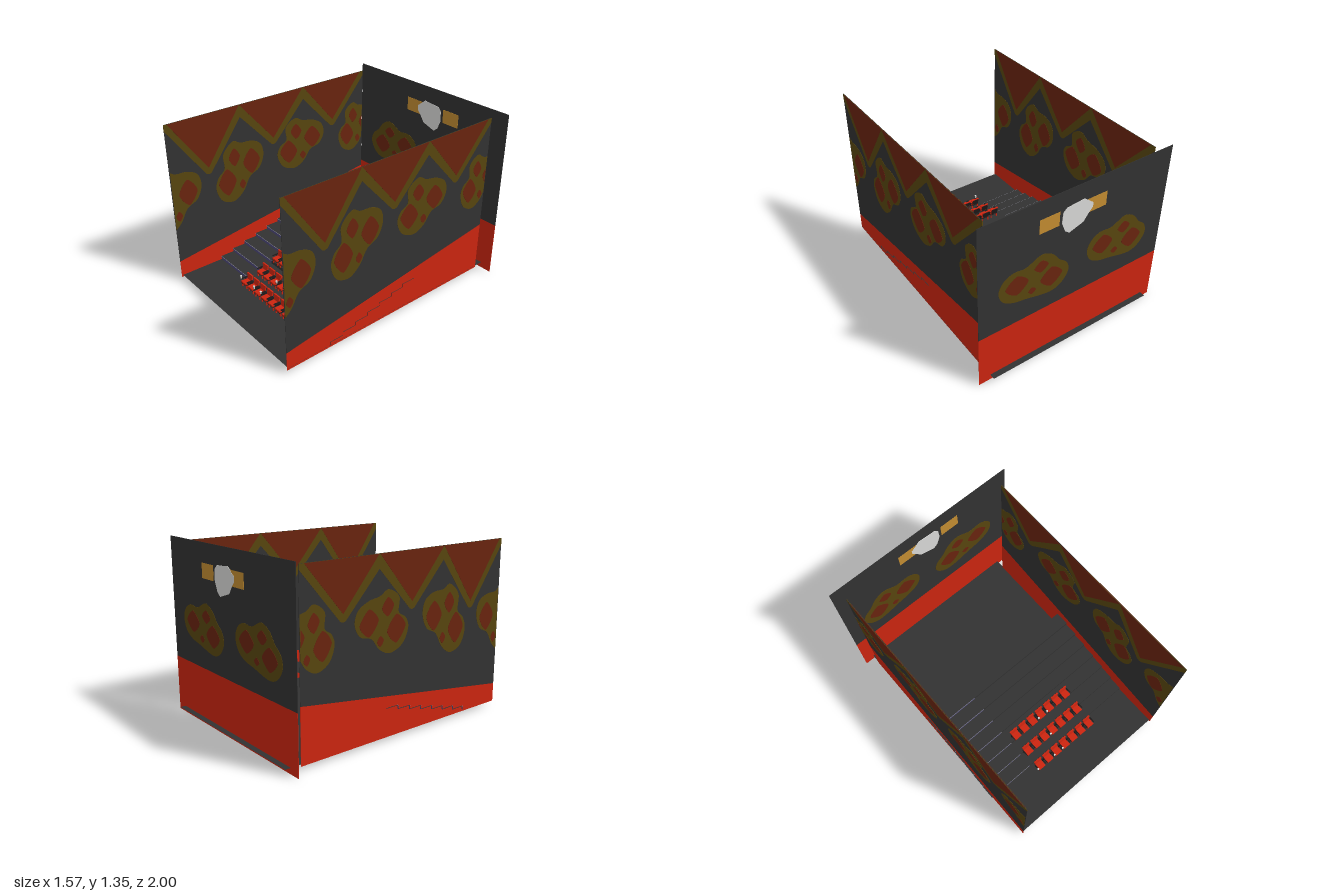
import * as THREE from 'three';

const mat = (name, color) =>
  new THREE.MeshStandardMaterial({ name, color, side: THREE.DoubleSide });

export function createModel() {
  const room = new THREE.Group();
  room.name = 'auditorium';

  const grey = mat('charcoal', 0x323232);
  const red = mat('red', 0xcd2510);
  const brown = mat('dark red paint', 0x69240f);
  const olive = mat('olive paint', 0x58460f);
  const orange = mat('orange paint', 0xc48d31);
  const white = mat('off white', 0xdadad8);
  const violet = mat('step violet', 0x4b467a);
  const silver = mat('step edge', 0x8c8c96);
  const black = mat('seat frame', 0x1e1a1a);

  const add = (parent, name, geo, material, x = 0, y = 0, z = 0) => {
    const m = new THREE.Mesh(geo, material);
    m.name = name;
    m.position.set(x, y, z);
    parent.add(m);
    return m;
  };
  const box = (parent, name, material, w, h, d, x, y, z) =>
    add(parent, name, new THREE.BoxGeometry(w, h, d), material, x, y, z);

  // Thin plate centred on the wall plane, so paint shows on both faces
  const plate = (parent, name, points, material, thick) => {
    const shape = new THREE.Shape(points.map(([x, y]) => new THREE.Vector2(x, y)));
    const geo = new THREE.ExtrudeGeometry(shape, { depth: thick, bevelEnabled: false });
    geo.translate(0, 0, -thick / 2);
    add(parent, name, geo, material);
  };
  const rect = (x0, x1, y0, y1) => [[x0, y0], [x1, y0], [x1, y1], [x0, y1]];

  // Smooth closed outline
  const smooth = (pts) =>
    new THREE.CatmullRomCurve3(pts.map(([x, y]) => new THREE.Vector3(x, y, 0)), true)
      .getPoints(140).slice(0, -1).map((p) => [p.x, p.y]);
  // Diamond with softened corners
  const soft = (v) => Math.sign(v) * Math.abs(v) ** 1.5;
  const diamond = ([cx, cy, a, b]) => Array.from({ length: 40 }, (_, i) => {
    const t = (i / 40) * Math.PI * 2;
    return [cx + a * soft(Math.cos(t)), cy + b * soft(Math.sin(t))];
  });
  // Painted spot: motif moved, scaled and sheared, cut off at the wall's ends
  const addSpot = (wall, { outline, gems }, [lo, hi], cx, cy, sx = 1, sy = 1, shear = 0) => {
    const place = (pts) => pts
      .map(([x, y]) => [cx + sx * x, cy + sy * y + shear * x])
      .filter(([x]) => x >= lo && x <= hi);
    plate(wall, 'spotBorder', place(smooth(outline)), olive, 0.006);
    for (const g of gems) plate(wall, 'spotCentre', place(diamond(g)), brown, 0.009);
  };

  // Back wall with its two spots and centre ornament
  const back = new THREE.Group();
  back.name = 'backWall';
  back.position.z = -0.955;
  room.add(back);
  plate(back, 'backWallUpper', rect(-0.785, 0.78, 0.43, 1.35), grey, 0.003);
  plate(back, 'backWallBase', rect(-0.785, 0.78, 0, 0.43), red, 0.003);
  const backMotif = {
    outline: [[-0.417, 0.921], [-0.295, 0.872], [-0.2, 0.877], [-0.13, 0.84], [-0.095, 0.765],
      [-0.125, 0.675], [-0.2, 0.625], [-0.305, 0.6], [-0.51, 0.56], [-0.59, 0.595],
      [-0.64, 0.68], [-0.62, 0.755], [-0.56, 0.81], [-0.5, 0.885]],
    gems: [[-0.5, 0.695, 0.088, 0.082], [-0.417, 0.823, 0.055, 0.048],
      [-0.232, 0.757, 0.088, 0.08], [-0.35, 0.65, 0.03, 0.028]],
  };
  const backEnds = [-0.78, 0.78];
  addSpot(back, backMotif, backEnds, 0, 0);
  addSpot(back, backMotif, backEnds, 0.725, 0, 1.04);
  plate(back, 'ornamentWing', rect(-0.222, -0.06, 1.097, 1.207), orange, 0.006);
  plate(back, 'ornamentWing', rect(0.165, 0.322, 1.097, 1.207), orange, 0.006);
  plate(back, 'ornamentCentre', [[-0.107, 1.165], [-0.03, 1.227], [0.03, 1.22], [0.11, 1.215],
    [0.14, 1.185], [0.145, 1.105], [0.115, 1.03], [0.08, 1.003], [-0.035, 1.04],
    [-0.07, 1.09], [-0.105, 1.13]], white, 0.009);

  // Side walls, drawn in (z, y); the motif's origin is its largest diamond
  const sideMotif = {
    outline: [[-0.075, 0.33], [-0.14, 0.3], [-0.24, 0.29], [-0.32, 0.245], [-0.345, 0.15],
      [-0.3, 0.04], [-0.21, -0.01], [-0.14, -0.12], [-0.05, -0.18], [0.055, -0.145],
      [0.105, -0.025], [0.08, 0.06], [0.02, 0.12], [0.02, 0.245]],
    gems: [[0, 0, 0.08, 0.115], [-0.075, 0.195, 0.05, 0.075],
      [-0.23, 0.12, 0.078, 0.108], [-0.135, -0.055, 0.028, 0.042]],
  };
  const cutMotif = { outline: sideMotif.outline, gems: sideMotif.gems.slice(2) };
  const sideEnds = [-0.88, 1];
  const valleys = [[0.674, 0.832], [0.07, 0.91], [-0.54, 0.91]];
  const peaks = [[0.37, 1.22], [-0.235, 1.22], [-0.88, 1.285]];
  for (const [name, x] of [['leftWall', 0.687], ['rightWall', -0.706]]) {
    const wall = new THREE.Group();
    wall.name = name;
    wall.position.x = x;
    wall.rotation.y = -Math.PI / 2;
    room.add(wall);
    plate(wall, 'wallUpper', [[1, 0.175], [1, 1.32], [-0.88, 1.32], [-0.88, 0.43]], grey, 0.003);
    plate(wall, 'wallBase', [[1, 0.03], [1, 0.175], [-0.88, 0.43], [-0.88, 0.03]], red, 0.003);
    const zigzag = valleys.flatMap(([z, y], i) =>
      [[z + 0.022, y + 0.008], [z, y], [z - 0.022, y + 0.008], peaks[i]]);
    plate(wall, 'zigzagBorder', [[1, 1.319], [1, 1.27], ...zigzag, [-0.88, 1.319]], olive, 0.005);
    for (const [z, y] of valleys)
      plate(wall, 'zigzagFill', [[z + 0.301, 1.318], [z, y + 0.056], [z - 0.301, 1.318]], brown, 0.008);
    addSpot(wall, cutMotif, sideEnds, 1.095, 0.62);
    addSpot(wall, sideMotif, sideEnds, 0.52, 0.71);
    addSpot(wall, sideMotif, sideEnds, -0.075, 0.8, 1.07, 0.87, 0.15);
    addSpot(wall, sideMotif, sideEnds, -0.705, 0.785, 0.91, 0.87, 0.15);
  }

  // Floor sheet
  const floorY = 0.045;
  const flat = (name, x0, x1, z0, z1, y) =>
    add(room, name, new THREE.PlaneGeometry(x1 - x0, z1 - z0).rotateX(-Math.PI / 2), grey,
      (x0 + x1) / 2, y, (z0 + z1) / 2);
  flat('floor', -0.705, 0.69, -1, 0.99, floorY);

  // Steps: folded sheet of risers and treads, with violet risers on the aisle
  const rise = 0.2 / 7, run = 0.1136, stepFront = 0.635;
  for (let i = 0; i < 7; i++) {
    const z = stepFront - i * run, y = floorY + i * rise;
    flat('tread', -0.717, 0.693, z - run, z, y + rise);
    add(room, 'riser', new THREE.PlaneGeometry(1.013, rise), grey, 0.1865, y + rise / 2, z);
    add(room, 'aisleRiser', new THREE.PlaneGeometry(0.397, rise), violet, -0.5185, y + rise / 2, z);
    box(room, 'stepEdge', silver, 0.397, 0.003, 0.003, -0.5185, y + rise - 0.002, z + 0.001);
  }

  // Seats
  const addSeat = (x, y, z) => {
    const seat = new THREE.Group();
    seat.name = 'seat';
    seat.position.set(x, y, z);
    room.add(seat);
    box(seat, 'cushion', red, 0.06, 0.014, 0.06, 0, 0.042, 0.006);
    box(seat, 'cushionFrame', black, 0.064, 0.006, 0.062, 0, 0.033, 0.004);
    const rest = new THREE.Group();
    rest.name = 'backrest';
    rest.position.set(0, 0.045, -0.027);
    rest.rotation.x = -0.15;
    seat.add(rest);
    box(rest, 'backrestPad', red, 0.06, 0.05, 0.01, 0, 0.026, 0.003);
    box(rest, 'backrestTop', red, 0.07, 0.014, 0.012, 0, 0.044, 0.003);
    box(rest, 'backrestShell', black, 0.056, 0.046, 0.004, 0, 0.024, -0.004);
    for (const s of [-1, 1]) {
      box(seat, 'frontLeg', red, 0.008, 0.035, 0.008, s * 0.027, 0.0175, 0.026);
      box(seat, 'backLeg', red, 0.008, 0.035, 0.008, s * 0.027, 0.0175, -0.022);
      box(seat, 'armrest', black, 0.008, 0.006, 0.05, s * 0.037, 0.06, 0.002);
      box(seat, 'armSupport', black, 0.005, 0.03, 0.01, s * 0.037, 0.043, -0.01);
    }
  };
  const rows = [[0.683, floorY], [0.537, floorY + rise], [0.387, floorY + 3 * rise]];
  for (const [z, y] of rows)
    for (let i = 0; i < 7; i++) addSeat(-0.253 + i * 0.088, y, z);

  // Cups on some armrests: [row, x]
  const cup = new THREE.CylinderGeometry(0.008, 0.006, 0.022, 10);
  for (const [r, x] of [[0, -0.295], [0, -0.118], [0, -0.031], [1, -0.031], [2, -0.031], [2, 0.058]])
    add(room, 'cup', cup, white, x, rows[r][1] + 0.074, rows[r][0] + 0.026);

  return room;
}
